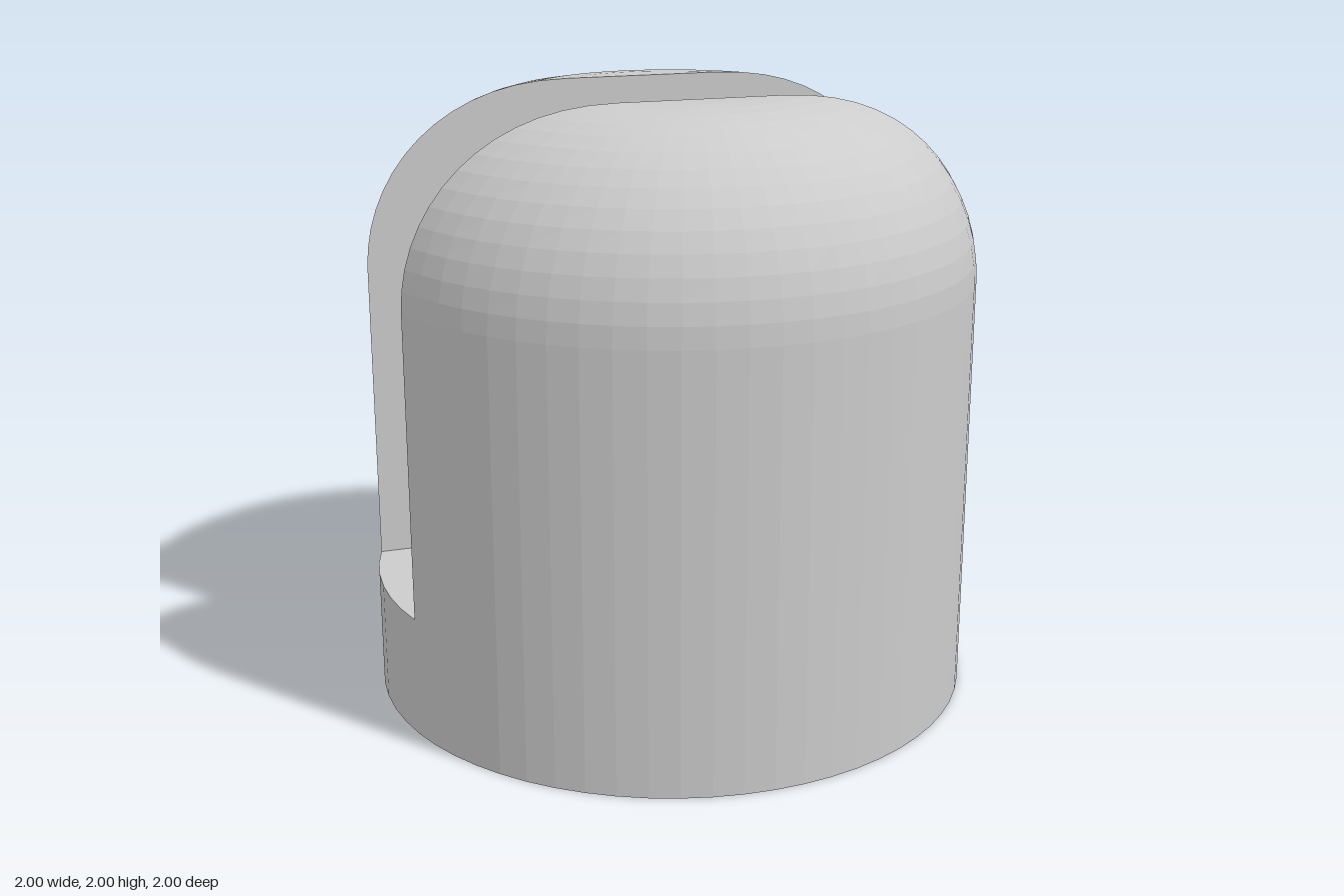
import * as THREE from 'three';

const R = 1, FILLET = 0.6, HEIGHT = 2; // body
const SLOT = 0.3, FLOOR = 0.4; // slot half width and floor height

// Faceted surface through a grid of points, outer list = rows
function skin(name, rows) {
  const n = rows[0].length;
  const index = [];
  for (let i = 0; i < rows.length - 1; i++) {
    for (let j = 0; j < n - 1; j++) {
      const p = i * n + j, q = p + n;
      index.push(p, q, p + 1, p + 1, q, q + 1);
    }
  }
  const indexed = new THREE.BufferGeometry();
  indexed.setAttribute('position', new THREE.Float32BufferAttribute(rows.flat(2), 3));
  indexed.setIndex(index);
  const geometry = indexed.toNonIndexed();
  geometry.computeVertexNormals();
  const mesh = new THREE.Mesh(geometry, new THREE.MeshStandardMaterial({ color: 0xcccccc, flatShading: true }));
  mesh.name = name;
  return mesh;
}

const steps = (count, from, to) =>
  Array.from({ length: count + 1 }, (_, i) => from + ((to - from) * i) / count);

// One domed cheek on the +z side of the slot
function createCheek(name) {
  const group = new THREE.Group();
  group.name = name;

  // Radius and height up the side and round the fillet
  const profile = [[R, 0], [R, FLOOR]];
  for (const a of steps(14, 0, Math.PI / 2)) {
    profile.push([R - FILLET + FILLET * Math.cos(a), HEIGHT - FILLET + FILLET * Math.sin(a)]);
  }

  // Arc of the circle lying beyond the slot wall
  const arc = ([r, y]) => {
    const a = Math.asin(SLOT / r);
    return steps(26, a, Math.PI - a).map((t) => [r * Math.cos(t), y, r * Math.sin(t)]);
  };
  const toWall = (row) => row.map(([x, y]) => [x, y, SLOT]);
  const arcs = profile.map(arc);

  // Underside, curved outside and flat top
  group.add(skin(name + 'Shell', [toWall(arcs[0]), ...arcs, toWall(arcs[arcs.length - 1])]));

  // Flat wall facing the slot
  group.add(skin(name + 'SlotWall', profile.slice(1).map(([r, y]) => {
    const w = Math.sqrt(r * r - SLOT * SLOT);
    return [[-w, y, SLOT], [w, y, SLOT]];
  })));
  return group;
}

export function createModel() {
  const model = new THREE.Group();
  model.name = 'slottedDome';

  const front = createCheek('frontCheek');
  const back = createCheek('backCheek');
  back.rotation.y = Math.PI;
  model.add(front, back);

  // Bridge under the slot: side, floor, side, underside
  const a = Math.asin(SLOT / R);
  const loop = [[1, 0], [1, FLOOR], [-1, FLOOR], [-1, 0], [1, 0]];
  model.add(skin('slotBase', loop.map(([side, y]) =>
    steps(6, -a, a).map((t) => [side * R * Math.cos(t), y, R * Math.sin(t)]))));
  return model;
}
